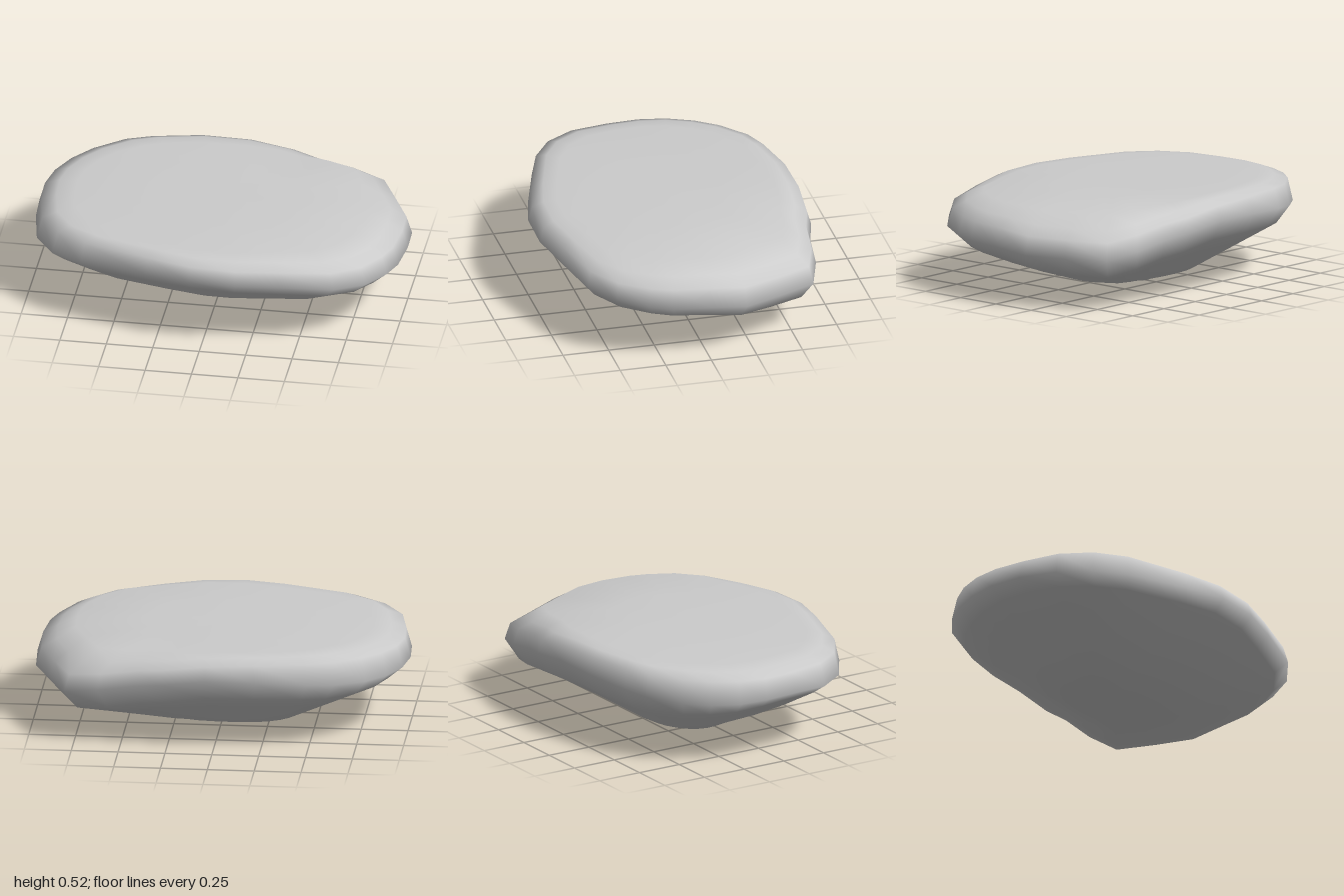
import * as THREE from 'three';

// Plan outline of the stone, as [x, z] from +x towards +z
const OUTLINE = [
  [1, 0], [0.98, 0.2], [0.94, 0.32], [0.85, 0.48], [0.7, 0.6], [0.42, 0.68], [0.19, 0.735],
  [-0.06, 0.735], [-0.3, 0.675], [-0.67, 0.56], [-0.84, 0.45], [-0.95, 0.29], [-0.99, 0.08],
  [-1, -0.1], [-0.97, -0.25], [-0.9, -0.39], [-0.8, -0.51], [-0.64, -0.63], [-0.5, -0.68],
  [-0.23, -0.735], [0.04, -0.745], [0.28, -0.73], [0.42, -0.69], [0.62, -0.67], [0.8, -0.61],
  [0.9, -0.4], [0.99, -0.2],
];

// The back left corner dips; the widest edge also sags towards both ends
const pos = (v) => Math.max(0, v);
const dip = (x, z) => 0.12 * pos(x) * pos(-z);
const rimY = (x, z) =>
  0.41 - 0.07 * x * x - 0.03 * x - dip(x, z) - 0.08 * pos(-x) * Math.abs(z);

const base = (x, z) => [0.4 * x, 0.038 + 0.006 * x, -0.07 + 0.315 * z];
const belly = (x, z) =>
  [0.92 * x, rimY(x, z) - 0.09 + 0.02 * x * x - 0.01 * x + 0.03 * z, 0.92 * z];
const between = (t) => (x, z) => {
  const a = base(x, z), b = belly(x, z);
  const p = a.map((v, k) => v + (b[k] - v) * t);
  p[1] -= 0.2 * t * (1 - t) * pos(z);
  return p;
};
const upper = (s, y, sag) => (x, z) =>
  [s * x, y - sag * (0.03 * x + 0.045 * x * x + dip(x, z)), s * z];

// Cross-sections from the underside to the top
const RINGS = [
  (x, z) => [0.2 * x, 0.024, -0.12 + 0.16 * z],
  base,
  between(0.33),
  between(0.67),
  belly,
  (x, z) => [x, rimY(x, z), z],
  upper(0.97, 0.485, 1),
  upper(0.89, 0.512, 0.8),
  upper(0.79, 0.52, 0.25),
  upper(0.4, 0.522, 0.05),
];

function stoneGeometry() {
  const n = OUTLINE.length, points = [], idx = [];
  for (const ring of RINGS) for (const [x, z] of OUTLINE) points.push(...ring(x, z));
  const bottom = points.length / 3, top = bottom + 1, last = (RINGS.length - 1) * n;
  points.push(0, 0, -0.18, 0, 0.522, 0);
  for (let i = 0; i < n; i++) {
    const k = (i + 1) % n;
    for (let j = 0; j < last; j += n) {
      idx.push(j + i, j + n + i, j + n + k, j + i, j + n + k, j + k);
    }
    idx.push(bottom, i, k, top, last + k, last + i);
  }
  const g = new THREE.BufferGeometry();
  g.setAttribute('position', new THREE.Float32BufferAttribute(points, 3));
  g.setIndex(idx);
  g.computeVertexNormals();
  return g;
}

export function createModel() {
  const group = new THREE.Group();
  group.name = 'flatStone';
  const stone = new THREE.Mesh(stoneGeometry(), new THREE.MeshStandardMaterial({ color: 0xcccccc }));
  stone.name = 'stone';
  group.add(stone);
  return group;
}
